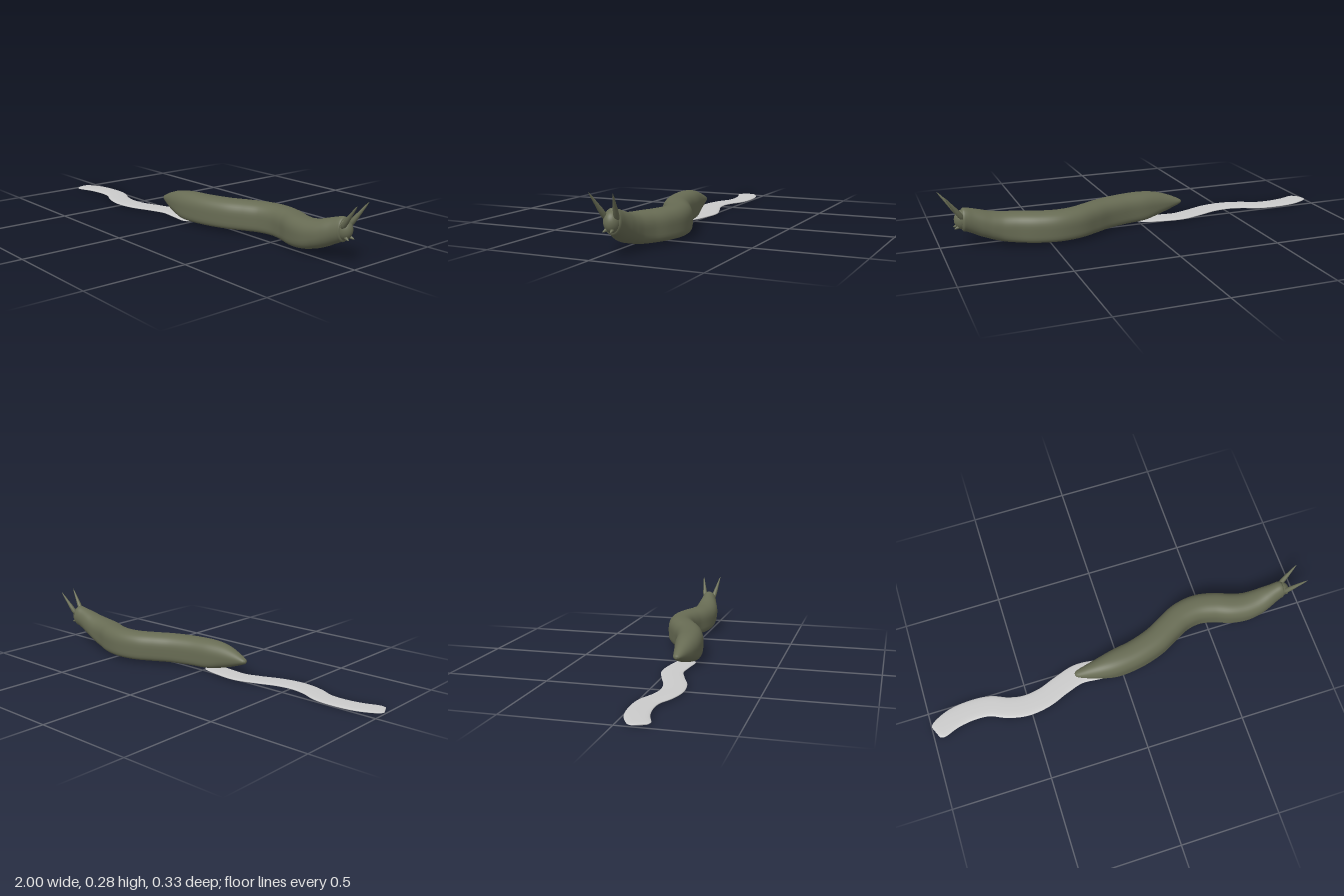
import * as THREE from 'three';

const skin = new THREE.MeshStandardMaterial({ color: 0x686c54, roughness: 0.8 });
const slime = new THREE.MeshStandardMaterial({ color: 0xcccccc });

// Lofts sections along a winding path.
// Station: [x, z, bottom y, top y, half width, upper exponent, lower exponent]
function loft(stations, steps, sides) {
  const path = new THREE.CatmullRomCurve3(
    stations.map(s => new THREE.Vector3(s[0], (s[2] + s[3]) / 2, s[1])), false, 'catmullrom');
  const size = new THREE.CatmullRomCurve3(
    stations.map(s => new THREE.Vector3(s[4], (s[3] - s[2]) / 2, 0)), false, 'catmullrom');
  const expo = new THREE.CatmullRomCurve3(
    stations.map(s => new THREE.Vector3(s[5], s[6], 0)), false, 'catmullrom');
  const pos = [], index = [];
  const power = (v, n) => Math.sign(v) * Math.pow(Math.abs(v), 2 / n);
  for (let i = 0; i <= steps; i++) {
    const t = i / steps;
    const c = path.getPoint(t), s = size.getPoint(t), e = expo.getPoint(t);
    const d = path.getTangent(t).setY(0).normalize();
    for (let j = 0; j < sides; j++) {
      const a = (j / sides) * Math.PI * 2;
      const n = Math.sin(a) >= 0 ? e.x : e.y;
      const w = s.x * power(Math.cos(a), n), h = s.y * power(Math.sin(a), n);
      pos.push(c.x - d.z * w, c.y + h, c.z + d.x * w);
    }
  }
  for (let i = 0; i < steps; i++) {
    for (let j = 0; j < sides; j++) {
      const k = (j + 1) % sides;
      const a = i * sides + j, b = i * sides + k;
      index.push(a, a + sides, b, b, a + sides, b + sides);
    }
  }
  // Close both ends
  for (const end of [0, 1]) {
    const p = path.getPoint(end), centre = pos.length / 3, base = end * steps * sides;
    pos.push(p.x, p.y, p.z);
    for (let j = 0; j < sides; j++) {
      const a = base + j, b = base + (j + 1) % sides;
      if (end) index.push(centre, b, a); else index.push(centre, a, b);
    }
  }
  const g = new THREE.BufferGeometry();
  g.setAttribute('position', new THREE.Float32BufferAttribute(pos, 3));
  g.setIndex(index);
  g.computeVertexNormals();
  return g;
}

// Tapered feeler from a base point to a tip
function feeler(name, from, to, profile) {
  const a = new THREE.Vector3(...from), b = new THREE.Vector3(...to);
  const length = a.distanceTo(b);
  const points = profile.map(([r, t]) => new THREE.Vector2(r, t * length));
  const mesh = new THREE.Mesh(new THREE.LatheGeometry(points, 16), skin);
  mesh.name = name;
  mesh.position.copy(a);
  mesh.quaternion.setFromUnitVectors(new THREE.Vector3(0, 1, 0), b.sub(a).normalize());
  return mesh;
}

export function createModel() {
  const model = new THREE.Group();
  model.name = 'slug';
  const add = (name, geometry, material) => {
    const mesh = new THREE.Mesh(geometry, material);
    mesh.name = name;
    model.add(mesh);
    return mesh;
  };

  // Body: domed back, flat foot, pointed tail and raised neck with a collar
  add('body', loft([
    [-0.24, 0.05, 0.075, 0.087, 0.006, 2, 2],
    [-0.225, 0.051, 0.066, 0.097, 0.019, 2, 2],
    [-0.17, 0.055, 0.045, 0.121, 0.036, 2, 2.4],
    [-0.10, 0.057, 0.025, 0.142, 0.053, 2.1, 3],
    [-0.02, 0.052, 0.013, 0.151, 0.065, 2.3, 4.5],
    [0.09, 0.036, 0.011, 0.152, 0.068, 2.4, 5],
    [0.20, 0.002, 0.011, 0.152, 0.069, 2.4, 5],
    [0.29, -0.045, 0.011, 0.152, 0.069, 2.4, 5],
    [0.37, -0.084, 0.011, 0.152, 0.069, 2.4, 5],
    [0.46, -0.099, 0.011, 0.152, 0.069, 2.4, 5],
    [0.55, -0.083, 0.011, 0.152, 0.069, 2.4, 5],
    [0.63, -0.052, 0.012, 0.152, 0.069, 2.4, 4.5],
    [0.70, -0.036, 0.017, 0.154, 0.068, 2.3, 3.5],
    [0.76, -0.034, 0.030, 0.163, 0.064, 2.2, 2.6],
    [0.81, -0.038, 0.048, 0.178, 0.056, 2.1, 2.2],
    [0.85, -0.043, 0.068, 0.190, 0.047, 2, 2],
    [0.88, -0.047, 0.083, 0.198, 0.042, 2, 2],
    [0.895, -0.048, 0.087, 0.196, 0.040, 2, 2],
    [0.902, -0.048, 0.098, 0.184, 0.031, 2, 2],
  ], 144, 40), skin);

  // Head: rounded snout emerging from the collar
  const head = add('head', new THREE.SphereGeometry(1, 28, 20), skin);
  head.scale.set(0.042, 0.047, 0.036);
  head.position.set(0.893, 0.143, -0.048);

  // Upper eye stalks and short lower feelers
  const stalk = [[0, 0], [0.010, 0.01], [0.0125, 0.15], [0.011, 0.35], [0.007, 0.62], [0.004, 0.85], [0, 1]];
  const nub = [[0.0075, 0], [0.007, 0.5], [0.004, 0.85], [0, 1]];
  model.add(
    feeler('leftEyeStalk', [0.897, 0.153, -0.072], [0.98, 0.273, -0.102], stalk),
    feeler('rightEyeStalk', [0.900, 0.153, -0.026], [1.0, 0.275, -0.003], stalk),
    feeler('leftLowerFeeler', [0.905, 0.117, -0.059], [0.938, 0.105, -0.065], nub),
    feeler('rightLowerFeeler', [0.905, 0.117, -0.036], [0.938, 0.105, -0.029], nub),
  );

  // Slime trail: thin winding ribbon with a soft edge
  add('slimeTrail', loft([
    [-0.985, 0.105, 0.003, 0.009, 0.034, 2, 2],
    [-0.96, 0.094, 0.001, 0.011, 0.050, 2.4, 2.4],
    [-0.88, 0.061, 0, 0.012, 0.054, 2.6, 2.6],
    [-0.78, 0.048, 0, 0.012, 0.053, 2.6, 2.6],
    [-0.69, 0.056, 0, 0.012, 0.053, 2.6, 2.6],
    [-0.61, 0.090, 0, 0.012, 0.054, 2.6, 2.6],
    [-0.52, 0.108, 0, 0.012, 0.055, 2.6, 2.6],
    [-0.42, 0.096, 0, 0.012, 0.055, 2.6, 2.6],
    [-0.32, 0.059, 0, 0.012, 0.054, 2.6, 2.6],
    [-0.22, 0.029, 0, 0.012, 0.054, 2.6, 2.6],
    [-0.12, 0.036, 0, 0.012, 0.053, 2.6, 2.6],
    [-0.03, 0.050, 0.001, 0.011, 0.048, 2.4, 2.4],
    [0, 0.054, 0.003, 0.009, 0.028, 2, 2],
  ], 96, 24), slime);

  return model;
}
